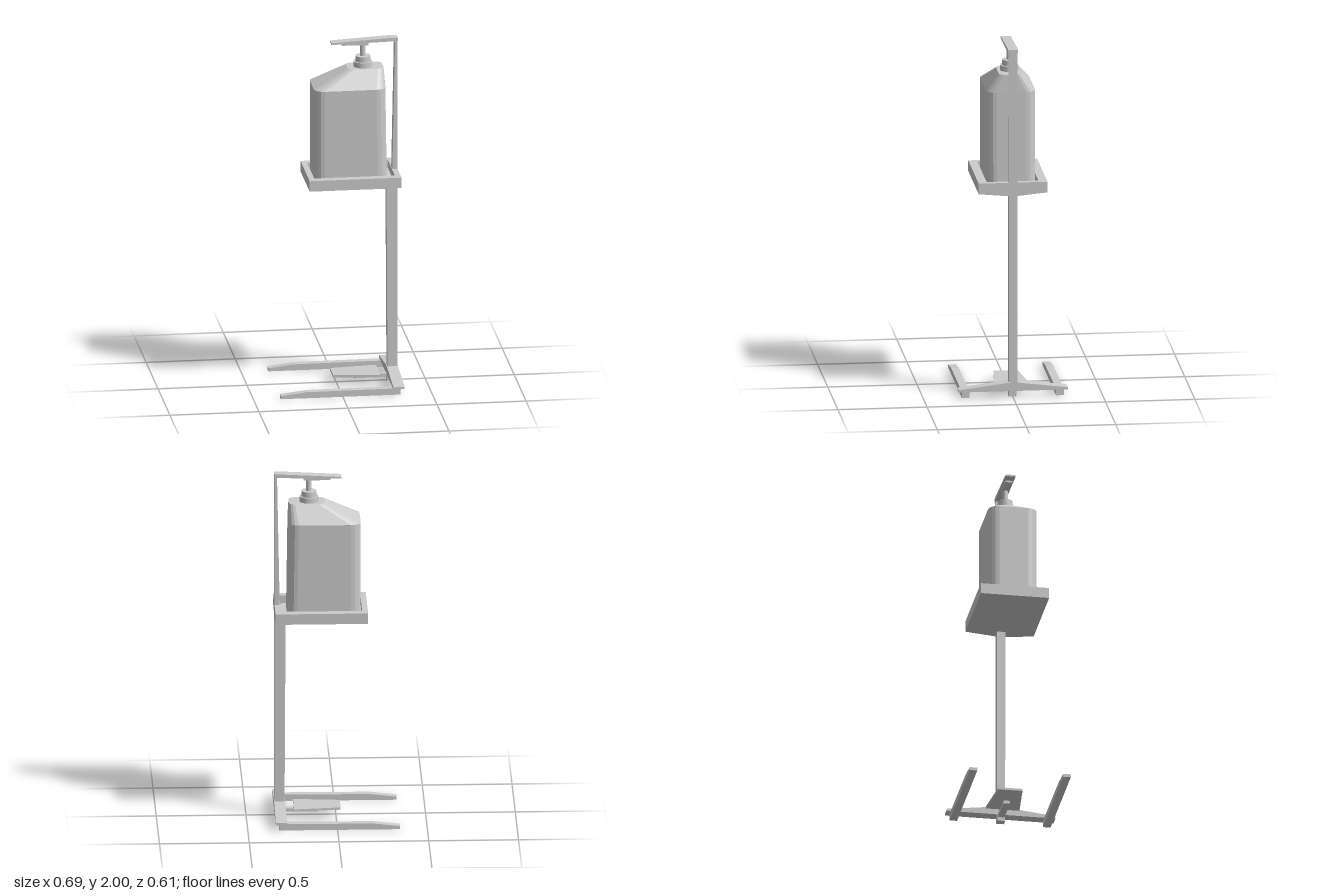
import * as THREE from 'three';
import { ConvexGeometry } from 'three/addons/geometries/ConvexGeometry.js';

const material = new THREE.MeshStandardMaterial({ color: 0xcccccc, flatShading: true });
const smooth = new THREE.MeshStandardMaterial({ color: 0xcccccc });

const shapeOf = (points) => new THREE.Shape(points.map(([x, y]) => new THREE.Vector2(x, y)));

// Extrude an outline drawn in x/y, centred on z = 0
function slab(points, width) {
  return new THREE.ExtrudeGeometry(shapeOf(points), { depth: width, bevelEnabled: false })
    .translate(0, 0, -width / 2);
}

// Box given by its limits
function block(x0, x1, y0, y1, z0, z1) {
  return new THREE.BoxGeometry(x1 - x0, y1 - y0, z1 - z0)
    .translate((x0 + x1) / 2, (y0 + y1) / 2, (z0 + z1) / 2);
}

// Horizontal rounded rectangle as a ring of points
function roundedRing(x0, x1, halfZ, radius, y, segments = 4) {
  const ring = [];
  const centres = [[x1, 1, 1], [x0, -1, 1], [x0, -1, -1], [x1, 1, -1]];
  centres.forEach(([x, sx, sz], corner) => {
    for (let i = 0; i <= segments; i++) {
      const a = (corner + i / segments) * Math.PI / 2;
      ring.push(new THREE.Vector3(
        x - sx * radius + Math.cos(a) * radius, y, sz * (halfZ - radius) + Math.sin(a) * radius));
    }
  });
  return ring;
}

export function createModel() {
  const model = new THREE.Group();
  const add = (name, geometry, mat = material) => {
    const mesh = new THREE.Mesh(geometry, mat);
    mesh.name = name;
    model.add(mesh);
    return mesh;
  };

  // Floor legs with tapered tips
  for (const side of [-1, 1]) {
    const leg = add(side > 0 ? 'leftLeg' : 'rightLeg', slab(
      [[-0.348, 0], [0.325, 0], [0.325, 0.037], [-0.2, 0.035], [-0.348, 0.018]], 0.043));
    leg.position.z = side * 0.264;
  }

  // Rear crossbar, thick in the middle and thin at its ends
  add('crossbar', slab([
    [-0.306, 0.037], [0.306, 0.037], [0.306, 0.05], [0.023, 0.085], [-0.023, 0.085], [-0.306, 0.05],
  ], 0.063).rotateY(Math.PI / 2).translate(0.313, 0, 0));
  add('centreFoot', block(0.282, 0.325, 0, 0.037, -0.022, 0.022));

  // Foot pedal: a wedge plate with a narrower underside
  const pedalPoints = [];
  for (const s of [-1, 1]) {
    for (const y of [0.047, 0.06]) {
      pedalPoints.push(new THREE.Vector3(-0.025, y, s * 0.068), new THREE.Vector3(0.235, y, s * 0.095));
    }
    pedalPoints.push(new THREE.Vector3(0.03, 0.04, s * 0.045), new THREE.Vector3(0.21, 0.04, s * 0.07));
  }
  add('pedal', new ConvexGeometry(pedalPoints));
  add('pedalArm', block(0.1, 0.3, 0.022, 0.042, -0.018, 0.018));

  // Main post
  add('post', slab([[0.286, 0.05], [0.342, 0.05], [0.342, 1.175], [0.28, 1.175]], 0.046));

  // Tray floor with a shallow keel towards the post
  const floorPoints = [];
  for (const s of [-1, 1]) {
    for (const x of [-0.174, 0.342]) {
      floorPoints.push(new THREE.Vector3(x, 1.174, s * 0.193), new THREE.Vector3(x, 1.19, s * 0.193));
    }
    floorPoints.push(new THREE.Vector3(0.342, 1.158, s * 0.025));
  }
  add('trayFloor', new ConvexGeometry(floorPoints));

  // Raised tray rim
  const rim = shapeOf([[-0.174, -0.193], [0.342, -0.193], [0.342, 0.193], [-0.174, 0.193]]);
  rim.holes.push(shapeOf([[-0.142, -0.145], [-0.142, 0.145], [0.31, 0.145], [0.31, -0.145]]));
  add('trayRim', new THREE.ExtrudeGeometry(rim, { depth: 0.045, bevelEnabled: false })
    .rotateX(-Math.PI / 2).translate(0, 1.19, 0));

  // Upper post and the overhanging press arm
  add('upperPost', slab([[0.312, 1.19], [0.343, 1.19], [0.343, 1.99], [0.328, 1.99]], 0.05));
  add('pressArm', slab([[-0.03, 1.972], [0.343, 1.98], [0.343, 2], [0.3, 2], [-0.03, 1.982]], 0.056));

  // Bottle with faceted corners and an offset sloping shoulder
  add('bottleBody', new ConvexGeometry([
    ...roundedRing(-0.136, 0.274, 0.137, 0.055, 1.19),
    ...roundedRing(-0.136, 0.266, 0.137, 0.055, 1.735),
  ]));
  add('bottleShoulder', new ConvexGeometry([
    ...roundedRing(-0.136, 0.266, 0.137, 0.055, 1.735),
    ...roundedRing(0.06, 0.262, 0.068, 0.035, 1.836),
  ]));

  // Pump: stepped collar, stem and flat head
  const pump = [
    ['collar', 0.053, 1.834, 1.866],
    ['collarTop', 0.042, 1.866, 1.897],
    ['pumpStem', 0.015, 1.897, 1.962],
  ];
  for (const [name, radius, y0, y1] of pump) {
    add(name, new THREE.CylinderGeometry(radius, radius, y1 - y0, 24)
      .translate(0.15, (y0 + y1) / 2, 0), smooth);
  }
  add('pumpHead', slab([[0.03, 1.963], [0.18, 1.96], [0.18, 1.974], [0.03, 1.973]], 0.04));

  return model;
}
